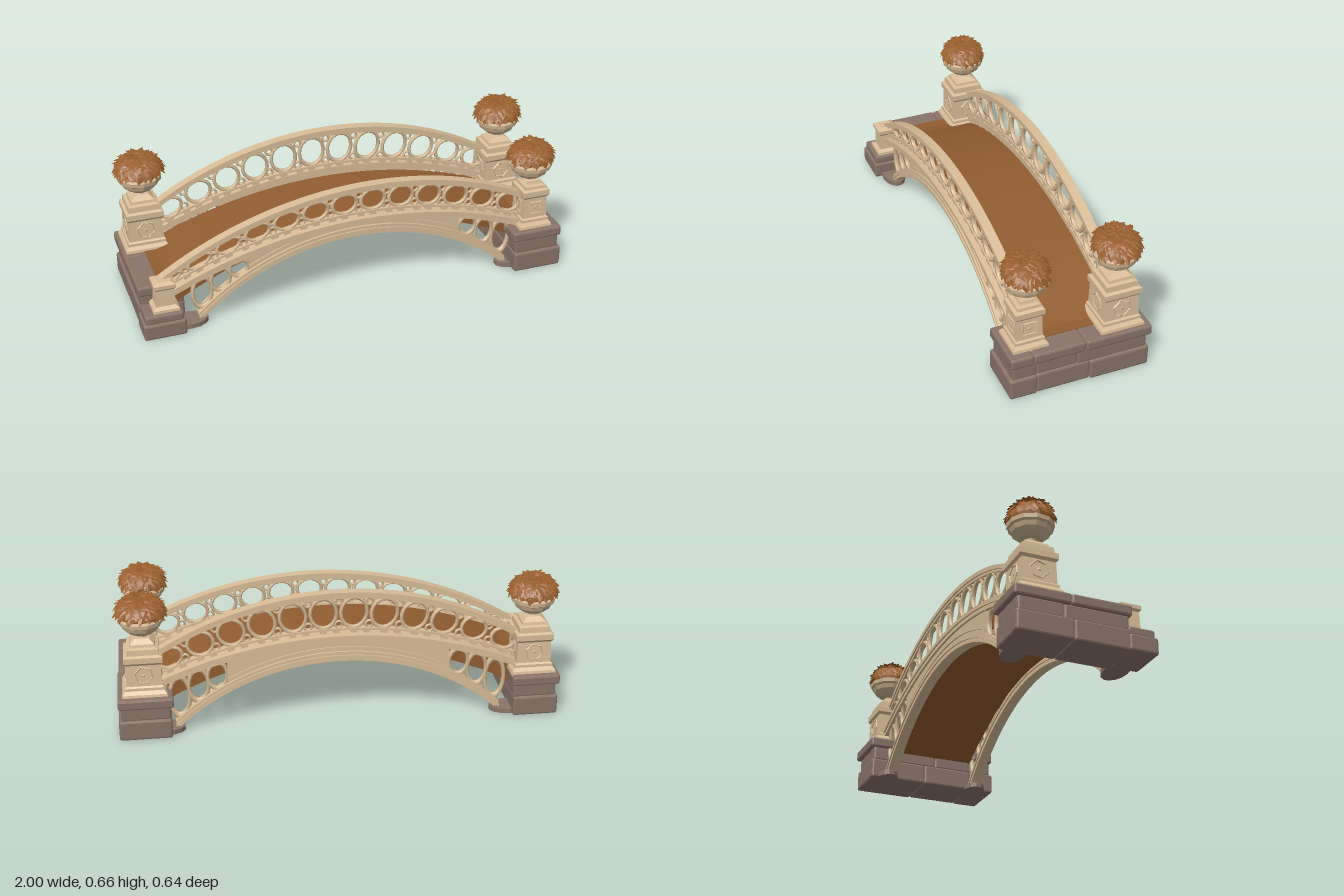
import * as THREE from 'three';
import { mergeGeometries } from 'three/addons/utils/BufferGeometryUtils.js';
import { RoundedBoxGeometry } from 'three/addons/geometries/RoundedBoxGeometry.js';

const mat = (name, color, extra = {}) =>
  Object.assign(new THREE.MeshStandardMaterial({ color, ...extra }), { name });

// Height of a circular arc with its crown at height c, leaning by a slope
const arc = (c, R, slope = 0) => (x) => c - R + Math.sqrt(R * R - x * x) + slope * x;

// Solid strip between two curves, from x0 to x1 and z0 to z1
function band(low, high, x0, x1, z0, z1, n = 36) {
  const pts = [];
  for (let i = 0; i <= n; i++) {
    const x = x0 + ((x1 - x0) * i) / n;
    pts.push(new THREE.Vector2(x, low(x)));
  }
  for (let i = n; i >= 0; i--) {
    const x = x0 + ((x1 - x0) * i) / n;
    pts.push(new THREE.Vector2(x, high(x)));
  }
  const g = new THREE.ExtrudeGeometry(new THREE.Shape(pts), { depth: z1 - z0, bevelEnabled: false });
  return g.translate(0, 0, z0);
}

export function createModel() {
  const root = new THREE.Group();
  root.name = 'gardenBridge';
  const tan = mat('carved sandstone', 0xd9bd98);
  const tanFlat = mat('faceted sandstone', 0xd9bd98, { flatShading: true });
  const urnStone = mat('urn stone', 0xcdb492, { flatShading: true });
  const stone = mat('dark base stone', 0x8a7469, { flatShading: true });
  const wood = mat('brown deck', 0x925d30);
  const leaf = mat('autumn leaves', 0x9a602f, { flatShading: true, side: THREE.DoubleSide });

  let seed = 7;
  const rnd = () => (seed = (seed * 16807) % 2147483647) / 2147483647;
  const add = (parent, name, geo, m, x = 0, y = 0, z = 0) => {
    const mesh = new THREE.Mesh(geo, m);
    mesh.name = name;
    mesh.position.set(x, y, z);
    parent.add(mesh);
    return mesh;
  };

  // Arched deck, with a flat landing at each end
  const deckTop = arc(0.38, 2.05);
  add(root, 'deck', band(arc(0.335, 1.6), (x) => Math.max(deckTop(x), 0.206), -0.9, 0.89, -0.2, 0.2), wood);

  // One side of the bridge: arch rib, beam, railing rings and handrail
  function side(name, zBeam, zRail, x0, x1, topY, R, topSlope, beamY, beamR, beamSlope, ringCount) {
    const g = new THREE.Group();
    g.name = name;
    const A = (o) => arc(0.3 + o, 1.06);
    const B = (o) => arc(beamY + o, beamR, beamSlope), T = (o) => arc(topY + o, R, topSlope);
    const strip = (n, lo, hi, a, b, w, z) => add(g, n, band(lo, hi, a, b, z - w, z + w), tan);
    strip('archRib', A(0), A(0.045), -0.738, 0.738, 0.024, zBeam);
    strip('archMoulding', A(0.018), A(0.03), -0.738, 0.738, 0.03, zBeam);
    strip('beam', B(-0.03), B(0), x0, x1, 0.024, zBeam);
    strip('beamMoulding', B(-0.012), B(0.006), x0, x1, 0.031, zBeam);
    strip('spandrelPlate', A(0.03), B(-0.02), -0.5, 0.5, 0.014, zBeam);
    strip('spandrelMoulding', A(0.058), A(0.068), -0.5, 0.5, 0.02, zBeam);
    strip('lowerRail', B(0.02), B(0.03), x0, x1, 0.016, zRail);
    strip('handrail', T(-0.02), T(0), x0, x1, 0.022, zRail);
    strip('handrailUnderside', T(-0.032), T(-0.018), x0, x1, 0.015, zRail);

    // Rings tilted along the curve, small rings between them and blocks below
    const parts = [];
    const ring = (x, y, rx, ry, t, z, tilt = 0) => {
      const q = new THREE.TorusGeometry(1, t / rx, 5, 16);
      parts.push(q.scale(rx, ry, rx * 1.4).rotateZ(tilt).translate(x, y, z));
    };
    const step = (x1 - x0) / ringCount;
    for (let i = 0; i < ringCount; i++) {
      const x = x0 + step * (i + 0.5), xs = x0 + step * i;
      const lo = B(0.028)(x), hi = T(-0.03)(x);
      ring(x, (lo + hi) / 2, step * 0.43, (hi - lo) / 2, 0.0085, zRail, topSlope - Math.asin(x / R));
      for (const xb of [x, xs + 0.01])
        parts.push(new THREE.BoxGeometry(0.03, 0.028, 0.028).translate(xb, B(0.012)(xb), zRail));
      if (i) {
        ring(xs, B(0.044)(xs), 0.016, 0.016, 0.006, zRail);
        ring(xs, T(-0.048)(xs), 0.016, 0.016, 0.006, zRail);
      }
    }
    for (const x of [-0.715, -0.63, -0.545, 0.545, 0.63, 0.715]) {
      const lo = A(0.045)(x), hi = B(-0.03)(x);
      ring(x, (lo + hi) / 2, 0.044, (hi - lo) / 2 + 0.004, 0.009, zBeam);
    }
    add(g, 'openwork', mergeGeometries(parts), tan);
    root.add(g);
  }
  side('backRailing', -0.22, -0.205, -0.82, 0.82, 0.625, 1.52, 0, 0.42, 2, 0, 12);
  side('frontRailing', 0.216, 0.208, -0.92, 0.82, 0.54, 1.72, 0.04, 0.382, 2.05, 0.01, 13);

  // Stone block with worn edges
  const block = (g, x0, x1, y0, y1, z0, z1) =>
    add(g, 'stoneBlock', new RoundedBoxGeometry(x1 - x0, y1 - y0, z1 - z0, 1, 0.009), stone,
      (x0 + x1) / 2, (y0 + y1) / 2, (z0 + z1) / 2);

  // Abutments in three courses; each course lists its joints along z
  function abutment(s, courses) {
    const g = new THREE.Group();
    g.name = s > 0 ? 'leftAbutment' : 'rightAbutment';
    for (const [y0, y1, inner, outer, joints] of courses)
      for (let i = 0; i + 1 < joints.length; i++) {
        const xs = [s * inner, s * (outer - rnd() * 0.008)].sort((a, b) => a - b);
        block(g, xs[0], xs[1], y0, y1, joints[i], joints[i + 1]);
      }
    for (const z of [-0.23, 0.225])
      add(g, 'footing', new THREE.CylinderGeometry(0.09, 0.09, 0.022, 14).scale(1, 1, 0.6), stone, s * 0.785, 0.011, z);
    root.add(g);
    return g;
  }
  abutment(1, [
    [0, 0.095, 0.755, 0.99, [-0.312, -0.04, 0.2, 0.322]],
    [0.09, 0.16, 0.76, 0.98, [-0.303, 0.015, 0.2, 0.308]],
    [0.155, 0.203, 0.745, 0.992, [-0.322, -0.02, 0.215, 0.317]],
  ]);
  const rightEnd = abutment(-1, [
    [0, 0.095, 0.79, 1, [-0.312, -0.06, 0.19]],
    [0.09, 0.16, 0.79, 0.99, [-0.303, -0.1, 0.19]],
    [0.155, 0.203, 0.78, 1, [-0.322, -0.07, 0.2]],
  ]);
  block(rightEnd, -1, -0.81, 0, 0.075, 0.18, 0.312);
  block(rightEnd, -0.99, -0.82, 0.07, 0.112, 0.18, 0.302);

  // Square moulded profile: pairs of half width and height
  function squareLathe(profile) {
    const pts = profile.map(([w, y]) => new THREE.Vector2(w * Math.SQRT2, y));
    return new THREE.LatheGeometry(pts, 4).rotateY(Math.PI / 4).toNonIndexed();
  }

  // Dome of overlapping pointed leaves
  function leaves(r, h) {
    const pos = [];
    const up = new THREE.Vector3(0, 1, 0);
    const count = 170;
    for (let i = 0; i < count; i++) {
      const phi = Math.acos(1 - (i + 0.5) / count * 1.1), th = i * 2.39996 + rnd() * 0.3;
      const n = new THREE.Vector3(Math.sin(phi) * Math.cos(th), Math.cos(phi), Math.sin(phi) * Math.sin(th));
      const across = new THREE.Vector3().crossVectors(up, n).normalize();
      const down = new THREE.Vector3().crossVectors(across, n).normalize();
      if (down.y > 0) down.negate();
      down.addScaledVector(across, (rnd() - 0.5) * 1.6).addScaledVector(n, 0.3 + rnd() * 0.5).normalize();
      const L = 0.038 + rnd() * 0.02, W = 0.014 + rnd() * 0.009;
      const c = new THREE.Vector3(n.x * r * 0.9, h * 0.24 + n.y * h * 0.62, n.z * r * 0.9);
      const a = c.clone().addScaledVector(down, -L * 0.5);
      const b = c.clone().addScaledVector(down, L * 0.6);
      const l = c.clone().addScaledVector(across, W), q = c.clone().addScaledVector(across, -W);
      c.addScaledVector(n, 0.005);
      for (const [u, v] of [[a, l], [l, b], [b, q], [q, a]])
        pos.push(...c.toArray(), ...v.toArray(), ...u.toArray());
    }
    const g = new THREE.BufferGeometry();
    g.setAttribute('position', new THREE.Float32BufferAttribute(pos, 3));
    g.computeVertexNormals();
    return g;
  }

  // Pillar with framed panels, faceted urn and leafy plant
  function pillar(name, x, z, w, urnY, r, urnX = x, urnZ = z) {
    const g = new THREE.Group();
    g.name = name;
    const k = urnY - 0.42;
    add(g, 'pillarStone', squareLathe([
      [w + 0.022, 0.195], [w + 0.018, 0.215], [w + 0.006, 0.23], [w + 0.006, 0.243], [w - 0.001, 0.25],
      [w - 0.004, 0.35], [w + 0.005, 0.362], [w + 0.005, 0.388], [w - 0.008, 0.395],
      [w - 0.01, 0.408 + k * 0.4], [w - 0.024, 0.412 + k * 0.45], [w - 0.027, 0.42 + k * 0.6],
      [0.032, urnY + 0.006], [0, urnY + 0.006],
    ]), tanFlat, x, 0, z);
    for (let i = 0; i < 4; i++) {
      const a = (i * Math.PI) / 2;
      const frame = mergeGeometries([
        new THREE.TorusGeometry(0.04, 0.004, 4, w > 0.07 ? 6 : 4).rotateZ(Math.PI / 4),
        new THREE.ConeGeometry(0.02, 0.008, 5).rotateX(Math.PI / 2),
      ]);
      add(g, 'panelFrame', frame, tanFlat, x + Math.sin(a) * (w - 0.003), 0.302, z + Math.cos(a) * (w - 0.003)).rotation.y = a;
    }
    const bowl = [[0.04, 0], [0.024, 0.01], [0.026, 0.02], [0.056, 0.03], [0.082, 0.052], [0.09, 0.072],
      [0.1, 0.078], [0.102, 0.096], [0.09, 0.102], [0, 0.098]].map(([a, b]) => new THREE.Vector2(a, b));
    add(g, 'urn', new THREE.LatheGeometry(bowl, 11), urnStone, urnX, urnY, urnZ);
    const core = new THREE.SphereGeometry(r * 0.84, 12, 6, 0, Math.PI * 2, 0, Math.PI * 0.58);
    add(g, 'plantCore', core.scale(1.1, 0.82, 1), leaf, urnX, urnY + 0.114, urnZ);
    add(g, 'plantLeaves', leaves(r, 0.116).scale(1.1, 1, 1), leaf, urnX, urnY + 0.096, urnZ);
    root.add(g);
  }
  pillar('frontLeftPillar', 0.865, 0.212, 0.06, 0.42, 0.1, 0.855, 0.205);
  pillar('backLeftPillar', 0.868, -0.195, 0.08, 0.452, 0.104);
  pillar('backRightPillar', -0.882, -0.195, 0.08, 0.452, 0.104);

  // Short end post on the corner without an urn
  add(root, 'frontRightPost', squareLathe([
    [0.06, 0.105], [0.058, 0.125], [0.043, 0.137], [0.04, 0.215], [0.048, 0.225], [0.048, 0.242], [0.03, 0.252], [0, 0.252],
  ]), tanFlat, -0.89, 0, 0.225);
  return root;
}
